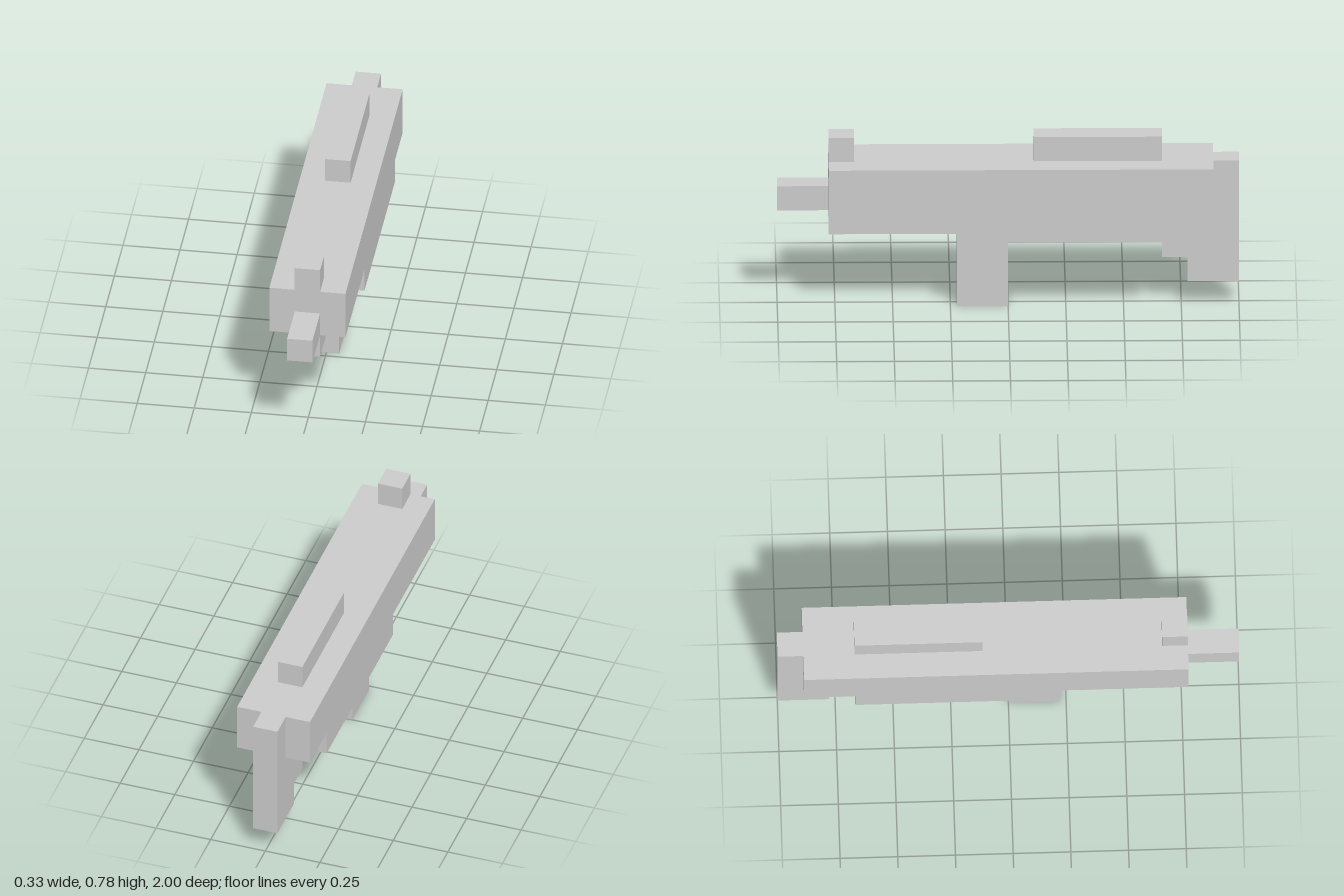
import * as THREE from 'three';

const U = 1 / 9; // edge of one block

export function createModel() {
  const model = new THREE.Group();
  const material = new THREE.MeshStandardMaterial({ color: 0xcccccc, flatShading: true });

  // Extrudes a side profile of [z, y] block coordinates across x, from x0 to x1
  function slab(name, profile, x0, x1) {
    const shape = new THREE.Shape(profile.map(([z, y]) => new THREE.Vector2(z * U, y * U)));
    const geometry = new THREE.ExtrudeGeometry(shape, { depth: (x1 - x0) * U, bevelEnabled: false });
    geometry.rotateY(-Math.PI / 2).translate(x1 * U, 0, 0);
    const mesh = new THREE.Mesh(geometry, material);
    mesh.name = name;
    model.add(mesh);
  }

  // One-block-wide box on the centre line
  function block(name, z0, z1, y0, y1) {
    const mesh = new THREE.Mesh(new THREE.BoxGeometry(U, (y1 - y0) * U, (z1 - z0) * U), material);
    mesh.name = name;
    mesh.position.set(0, (y0 + y1) / 2 * U, (z0 + z1) / 2 * U);
    model.add(mesh);
  }

  // Parts along the centre line
  block('barrel', 7, 9, 4, 5);
  block('frontSight', 6, 7, 6, 7);
  block('topRail', -6, -1, 6, 7);
  block('grip', 0, 2, 0, 3);
  block('bodyCore', -6, 7, 3, 6);
  slab('stock', [[-9, 1], [-7, 1], [-7, 2], [-6, 2], [-6, 6], [-9, 6]], -0.5, 0.5);

  // Side panels, cut away below at both ends
  const panel = [[-8, 4], [-6, 4], [-6, 3], [2, 3], [2, 4], [7, 4], [7, 6], [-8, 6]];
  slab('leftPanel', panel, 0.5, 1.5);
  slab('rightPanel', panel, -1.5, -0.5);

  return model;
}
